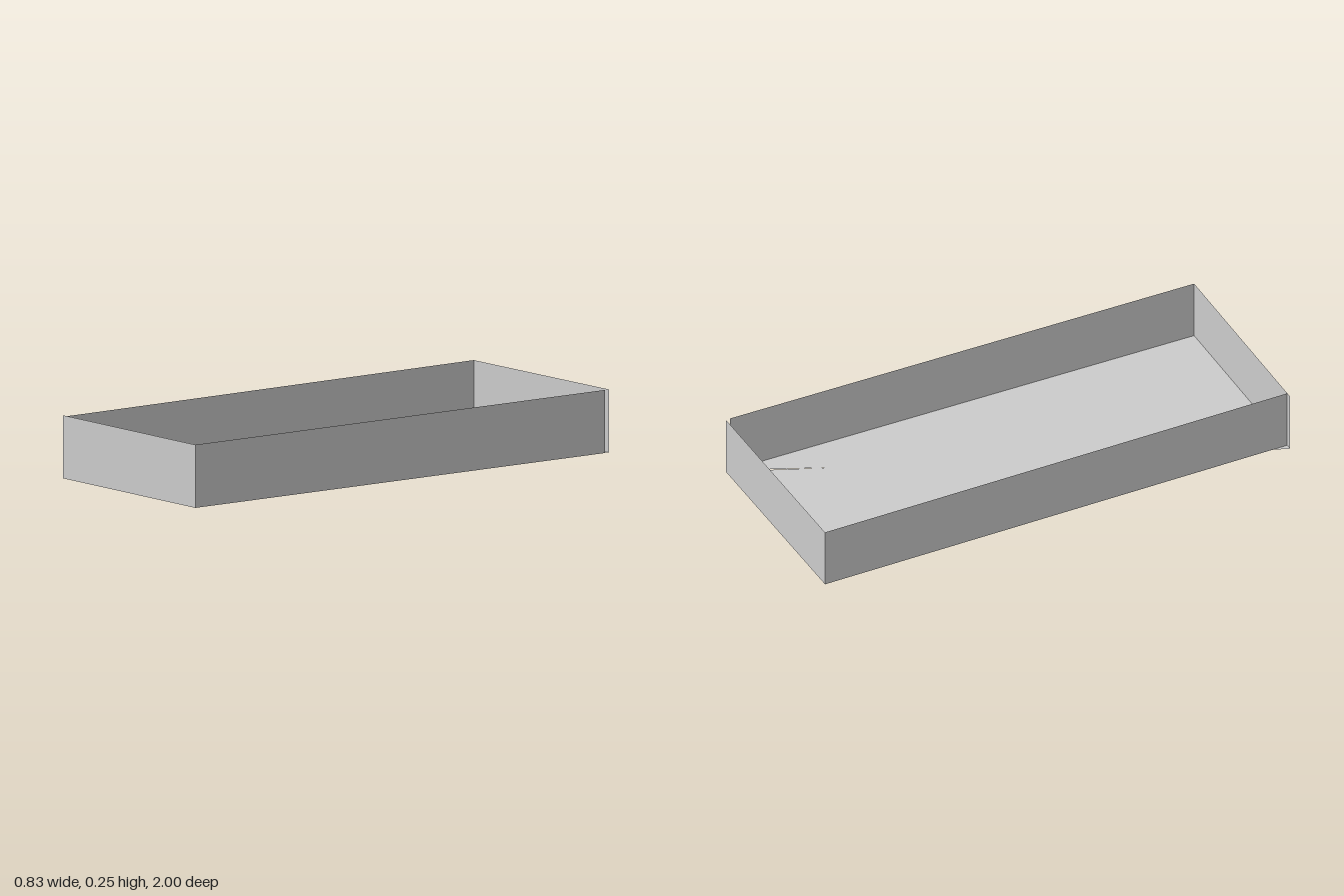
import * as THREE from 'three';

const HEIGHT = 0.245;

export function createModel() {
  const tray = new THREE.Group();
  tray.name = 'tray';
  const material = new THREE.MeshStandardMaterial({
    color: 0xcccccc, flatShading: true, side: THREE.DoubleSide,
  });

  // corners in plan, as [x, z]
  const backRight = [-0.414, -0.988];
  const backLeft = [0.414, -1];
  const sideEnd = [0.414, -0.982];
  const frontLeft = [0.411, 1];
  const frontRight = [-0.414, 1];
  const rightEnd = [-0.389, 0.999];

  // floor sheet with a narrow slit at one corner and a nick at the opposite one
  const slitTip = [0.26, -0.63];
  const nick = [-0.39, 0.935];
  const outline = [backRight, backLeft, slitTip, sideEnd, frontLeft, frontRight, nick];
  const shape = new THREE.Shape(outline.map(([x, z]) => new THREE.Vector2(x, z)));
  const floor = new THREE.Mesh(new THREE.ShapeGeometry(shape).rotateX(Math.PI / 2), material);
  floor.name = 'floor';
  tray.add(floor);

  // thin upright wall between two plan points
  const addWall = (name, [x0, z0], [x1, z1]) => {
    const geometry = new THREE.PlaneGeometry(Math.hypot(x1 - x0, z1 - z0), HEIGHT);
    const wall = new THREE.Mesh(geometry, material);
    wall.name = name;
    wall.position.set((x0 + x1) / 2, HEIGHT / 2, (z0 + z1) / 2);
    wall.rotation.y = Math.atan2(z0 - z1, x1 - x0);
    tray.add(wall);
  };
  addWall('frontWall', frontRight, frontLeft);
  addWall('leftWall', frontLeft, sideEnd);
  addWall('backWall', backLeft, backRight);
  addWall('rightWall', backRight, rightEnd);

  return tray;
}
